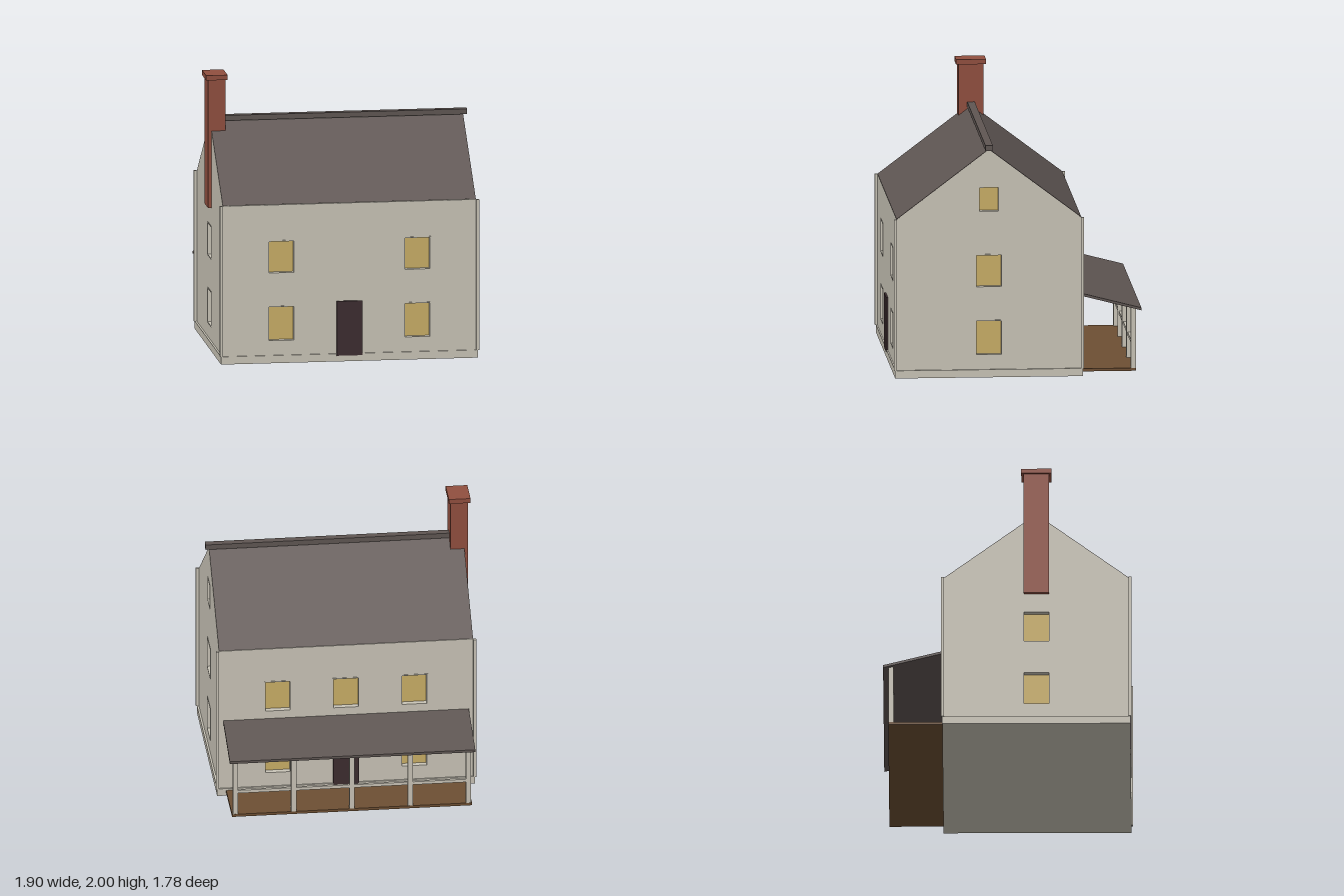
import * as THREE from 'three';

const mat = (name, color) => Object.assign(new THREE.MeshStandardMaterial({ color }), { name });

export function createModel() {
  const wallMat = mat('plaster', 0xc9c4b7);
  const roofMat = mat('slate', 0x5f5653);
  const glassMat = mat('lit glass', 0xc9ae66);
  const doorMat = mat('dark door', 0x3c2c2f);
  const brickMat = mat('brick', 0x914f3f);
  const deckMat = mat('deck wood', 0x6d4f33);

  // House coordinates: origin under the middle of the ridge
  const house = new THREE.Group();
  house.name = 'house';
  house.position.set(0.007, 0, 0.21);

  const HX = 0.916, HZ = 0.664, EAVE = 1.157, RIDGE = 1.66, T = 0.045;

  const add = (parent, name, geometry, material) => {
    const mesh = new THREE.Mesh(geometry, material);
    mesh.name = name;
    parent.add(mesh);
    return mesh;
  };
  // Box given by its low and high corners
  const box = (name, material, [x0, y0, z0], [x1, y1, z1]) => {
    const g = new THREE.BoxGeometry(x1 - x0, y1 - y0, z1 - z0);
    g.translate((x0 + x1) / 2, (y0 + y1) / 2, (z0 + z1) / 2);
    return add(house, name, g, material);
  };
  const polygon = (pts) => new THREE.Shape(pts.map(([x, y]) => new THREE.Vector2(x, y)));
  const rect = (cx, y0, y1, w) =>
    [[cx - w / 2, y0], [cx + w / 2, y0], [cx + w / 2, y1], [cx - w / 2, y1]];
  const extrude = (shape, depth) =>
    new THREE.ExtrudeGeometry(shape, { depth, bevelEnabled: false });
  // Profile of [z, y] points swept along x, centred
  const alongX = (name, material, pts, length) => {
    const g = extrude(polygon(pts.map(([z, y]) => [-z, y])), length);
    g.translate(0, 0, -length / 2).rotateY(Math.PI / 2);
    return add(house, name, g, material);
  };

  // Wall with real openings, a thin frame and a recessed pane in each
  function wall(name, outline, windows, angle, distance) {
    const group = new THREE.Group();
    group.name = name;
    group.rotation.y = angle;
    group.position.set(Math.sin(angle) * distance, 0, Math.cos(angle) * distance);
    house.add(group);
    const shape = polygon(outline);
    for (const [cx, y0, y1, w] of windows) {
      shape.holes.push(polygon(rect(cx, y0, y1, w)));
      const ring = polygon(rect(cx, y0, y1, w));
      ring.holes.push(polygon(rect(cx, y0 + 0.008, y1 - 0.008, w - 0.016)));
      add(group, 'windowFrame', extrude(ring, T + 0.003).translate(0, 0, -T), wallMat);
      const pane = new THREE.BoxGeometry(w, y1 - y0, 0.006);
      add(group, 'windowPane', pane.translate(cx, (y0 + y1) / 2, -T + 0.003), glassMat);
    }
    add(group, 'wallPanel', extrude(shape, T).translate(0, 0, -T), wallMat);
    return group;
  }

  const lower = (x) => [x, 0.156, 0.416, 0.195];
  const upper = (x) => [x, 0.65, 0.894, 0.195];
  const attic = [0, 1.2, 1.387, 0.15];
  const SIDE = 0.492;
  const longWall = rect(0, 0.04, EAVE - 0.003, 2 * (HX - 0.002));
  const gable = [[-HZ, 0.04], [HZ, 0.04], [HZ, EAVE - 0.004], [0, RIDGE - 0.004], [-HZ, EAVE - 0.004]];
  const pairs = [lower(-SIDE), lower(SIDE), upper(-SIDE), upper(SIDE)];

  wall('frontWall', longWall, pairs, 0, HZ);
  wall('backWall', longWall, [...pairs, upper(0)], Math.PI, HZ);
  wall('leftGable', gable, [lower(0), upper(0), attic], Math.PI / 2, HX);
  wall('rightGable', gable, [lower(0), upper(0)], -Math.PI / 2, HX);

  // Foundation and corner boards
  box('foundation', wallMat, [-0.93, 0, -0.674], [0.93, 0.056, 0.674]);
  for (const sx of [-1, 1]) for (const sz of [-1, 1]) {
    const board = add(house, 'cornerBoard', new THREE.BoxGeometry(0.022, 1.1, 0.022), wallMat);
    board.position.set(sx * 0.927, 0.606, sz * 0.672);
  }

  // Front and back doors
  for (const s of [-1, 1]) {
    const door = add(house, 'door', new THREE.BoxGeometry(0.186, 0.398, 0.018), doorMat);
    door.position.set(0, 0.241, s * 0.669);
  }

  // Gabled roof, flush with the walls, and ridge cap
  alongX('roof', roofMat,
    [[HZ, EAVE], [0, RIDGE], [-HZ, EAVE], [-HZ + 0.03, EAVE - 0.005], [0, RIDGE - 0.03], [HZ - 0.03, EAVE - 0.005]],
    2 * HX - 0.001);
  box('ridgeCap', roofMat, [-0.88, 1.652, -0.027], [0.943, 1.69, 0.027]);

  // Chimney on the right gable
  box('chimney', brickMat, [-0.942, 1.03, -0.09], [-0.815, 1.97, 0.09]);
  box('chimneyCap', brickMat, [-0.958, 1.965, -0.108], [-0.802, 2, 0.108]);

  // Back porch: deck, sloping roof, posts and rails
  box('porchDeck', deckMat, [-0.865, 0.022, -1.061], [0.865, 0.042, -0.66]);
  alongX('porchRoof', roofMat,
    [[-0.66, 0.597], [-1.098, 0.484], [-1.098, 0.465], [-0.66, 0.578]], 1.77);
  const POST_Z = -1.042, STEP = 0.42;
  for (let i = -2; i <= 2; i++) {
    box('porchPost', wallMat,
      [i * STEP - 0.018, 0.042, POST_Z - 0.018], [i * STEP + 0.018, 0.487, POST_Z + 0.018]);
    if (i < 2) box('porchRail', wallMat,
      [i * STEP, 0.205, POST_Z - 0.01], [(i + 1) * STEP, 0.228, POST_Z + 0.01]);
  }

  const model = new THREE.Group();
  model.name = 'farmhouse';
  model.add(house);
  return model;
}
